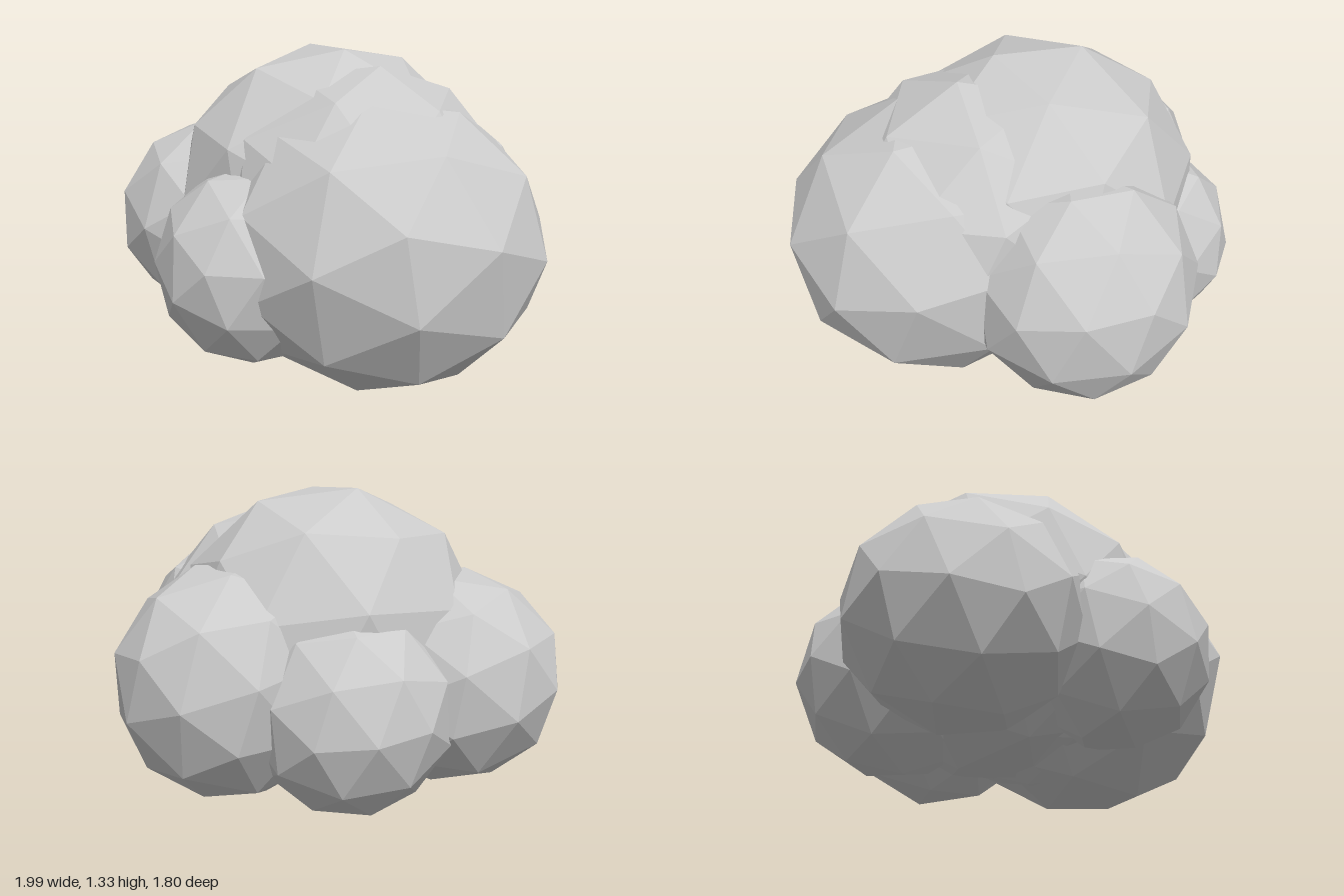
import * as THREE from 'three';

// Cluster of overlapping faceted lobes: name, centre, radii, turn of the facets
const LOBES = [
  ['crownLobe', [-0.01, 0.70, -0.02], [0.67, 0.65, 0.68], [0.3, 0.5, 0.35]],
  ['largeFrontLobe', [0.33, 0.58, 0.25], [0.67, 0.60, 0.65], [0.25, 0.55, 0]],
  // fills the valley between the two largest lobes
  ['saddleLobe', [0.19, 0.66, 0.12], [0.64, 0.62, 0.64], [0.1, 0.2, 0.4]],
  ['sideLobe', [-0.53, 0.54, 0.01], [0.48, 0.46, 0.49], [0.2, 0.3, 0.1]],
  ['smallFrontLobe', [-0.11, 0.50, 0.50], [0.40, 0.41, 0.40], [0.35, 0.2, 0.3]],
  ['backLobe', [0.29, 0.55, -0.42], [0.48, 0.49, 0.48], [0.15, 0.6, 0.2]],
  ['smallBackLobe', [-0.21, 0.46, -0.41], [0.42, 0.42, 0.42], [0.4, 0.1, 0.25]],
];

export function createModel() {
  const group = new THREE.Group();
  group.name = 'lobedCluster';
  const material = new THREE.MeshStandardMaterial({ color: 0xcccccc, flatShading: true });

  for (const [name, centre, radii, turn] of LOBES) {
    const turned = new THREE.Matrix4().makeRotationFromEuler(new THREE.Euler(...turn));
    const geometry = new THREE.IcosahedronGeometry(1, 1).applyMatrix4(turned).scale(...radii);
    const lobe = new THREE.Mesh(geometry, material);
    lobe.name = name;
    lobe.position.set(...centre);
    group.add(lobe);
  }
  return group;
}
